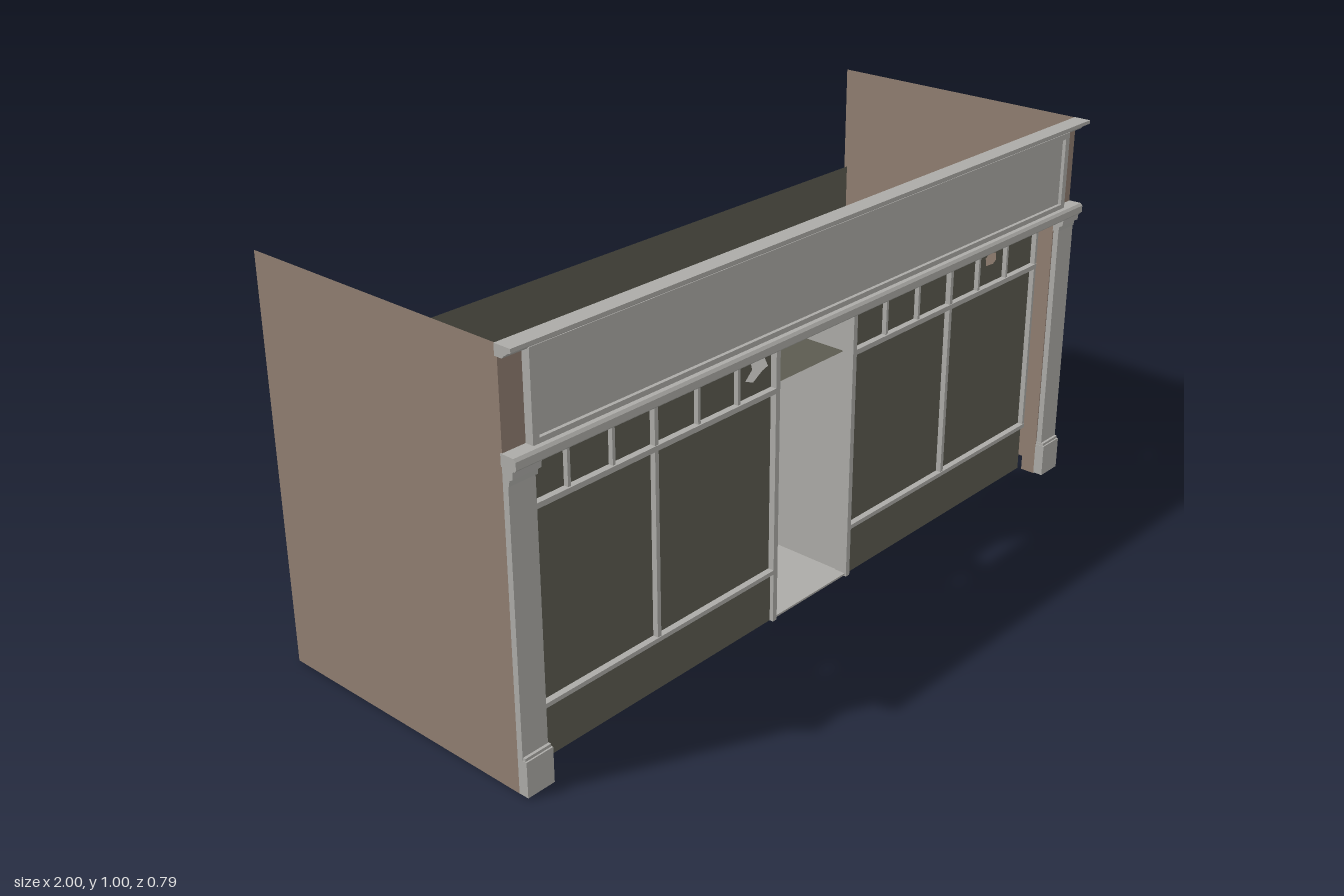
import * as THREE from 'three';

const mat = (name, color, double) => {
  const m = new THREE.MeshStandardMaterial({ color });
  m.name = name;
  if (double) m.side = THREE.DoubleSide;
  return m;
};

export function createModel() {
  const root = new THREE.Group();
  root.name = 'shopfront';
  const trim = mat('trimGrey', 0xacaba7);
  const olive = mat('oliveGreen', 0x5c5b50, true);
  const brick = mat('brickBrown', 0x907e71, true);
  const dark = mat('darkFloor', 0x3c3535, true);

  const add = (name, geo, material) => {
    const mesh = new THREE.Mesh(geo, material);
    mesh.name = name;
    root.add(mesh);
    return mesh;
  };
  // Box given by its limits on each axis
  const box = (name, m, x0, x1, y0, y1, z0, z1) => {
    const b = add(name, new THREE.BoxGeometry(x1 - x0, y1 - y0, z1 - z0), m);
    b.position.set((x0 + x1) / 2, (y0 + y1) / 2, (z0 + z1) / 2);
    return b;
  };
  // Box repeated on both sides of x = 0
  const pair = (name, m, x0, x1, ...rest) => {
    box(name + 'Left', m, x0, x1, ...rest);
    box(name + 'Right', m, -x1, -x0, ...rest);
  };
  // Upright sheet facing the front
  const sheet = (name, m, x0, x1, y0, y1, z) => {
    const p = add(name, new THREE.PlaneGeometry(x1 - x0, y1 - y0), m);
    p.position.set((x0 + x1) / 2, (y0 + y1) / 2, z);
  };
  // Level sheet
  const deck = (name, m, x0, x1, z0, z1, y) => {
    const p = add(name, new THREE.PlaneGeometry(x1 - x0, z1 - z0).rotateX(-Math.PI / 2), m);
    p.position.set((x0 + x1) / 2, y, (z0 + z1) / 2);
  };
  // Moulding: a (z, y) profile run along x
  const moulding = (name, pts, x0, x1) => {
    const shape = new THREE.Shape(pts.map(([z, y]) => new THREE.Vector2(z, y)));
    const geo = new THREE.ExtrudeGeometry(shape, { depth: x1 - x0, bevelEnabled: false });
    geo.rotateY(-Math.PI / 2).translate(x1, 0, 0);
    add(name, geo, trim);
  };

  // Shell: side walls, back wall and floor
  for (const s of [-1, 1]) {
    const wall = add('sideWall', new THREE.PlaneGeometry(0.745, 1).rotateY(s * Math.PI / 2), brick);
    wall.position.set(s * 0.998, 0.5, -0.0175);
    const reveal = add('brickReveal', new THREE.PlaneGeometry(0.04, 0.98).rotateY(-s * Math.PI / 2), brick);
    reveal.position.set(s * 0.927, 0.49, 0.335);
    sheet('brickPier', brick, s > 0 ? 0.927 : -0.998, s > 0 ? 0.998 : -0.927, 0, 0.99, 0.355);
  }
  deck('brickLintel', brick, -0.925, 0.925, 0.315, 0.355, 0.98);
  sheet('backWall', olive, -0.925, 0.925, 0, 0.745, -0.325);
  deck('floor', dark, -0.925, 0.925, -0.325, 0.3, 0.002);

  // Pilasters with base and stepped capital
  pair('pilasterShaft', trim, 0.93, 1, 0.09, 0.73, 0.355, 0.37);
  pair('pilasterBase', trim, 0.926, 1, 0.003, 0.09, 0.355, 0.381);
  pair('pilasterBaseCap', trim, 0.928, 0.999, 0.09, 0.097, 0.355, 0.377);
  for (const x0 of [-1, 0.926]) {
    moulding('capital', [[0.355, 0.712], [0.372, 0.712], [0.374, 0.725], [0.383, 0.73],
      [0.385, 0.748], [0.355, 0.748]], x0, x0 + 0.074);
  }

  // Fascia sign board with raised frame, between two cornices
  box('signPanel', trim, -0.93, 0.93, 0.77, 0.98, 0.355, 0.367);
  pair('signStile', trim, 0.921, 0.938, 0.775, 0.978, 0.352, 0.376);
  box('signTopRail', trim, -0.93, 0.93, 0.963, 0.978, 0.355, 0.376);
  box('signBottomRail', trim, -0.93, 0.93, 0.775, 0.788, 0.355, 0.376);
  moulding('topCornice', [[0.35, 0.974], [0.37, 0.974], [0.376, 0.98], [0.388, 0.988],
    [0.395, 0.991], [0.395, 1], [0.35, 1]], -1, 1);
  moulding('lowerCornice', [[0.352, 0.748], [0.389, 0.748], [0.394, 0.753], [0.394, 0.77],
    [0.388, 0.776], [0.352, 0.776]], -1, 1);
  box('frieze', trim, -0.93, 0.93, 0.734, 0.75, 0.352, 0.368);
  box('soffit', trim, -0.93, 0.93, 0.748, 0.754, 0.29, 0.356);

  // Window frame
  box('windowHead', trim, -0.928, 0.928, 0.732, 0.748, 0.28, 0.316);
  pair('windowSill', trim, 0.137, 0.926, 0.129, 0.14, 0.283, 0.314);
  pair('transomBar', trim, 0.137, 0.926, 0.596, 0.609, 0.282, 0.314);
  pair('windowJamb', trim, 0.919, 0.928, 0.13, 0.735, 0.285, 0.312);
  pair('entrancePost', trim, 0.134, 0.148, 0, 0.735, 0.28, 0.314);
  pair('mainMullion', trim, 0.53, 0.541, 0.135, 0.735, 0.285, 0.312);
  for (const x of [0.27, 0.4, 0.66, 0.787]) {
    pair('upperMullion', trim, x - 0.004, x + 0.004, 0.605, 0.735, 0.288, 0.31);
  }

  // Stall risers and large panes
  for (const s of [-1, 1]) {
    const a = s > 0 ? 0.14 : -0.925, b = s > 0 ? 0.925 : -0.14;
    sheet('stallRiser', olive, a, b, 0, 0.135, 0.304);
    sheet('largePane', olive, a, b, 0.135, 0.602, 0.298);
  }

  // Small upper panes, three of them broken; holes are offsets from a centre
  const holes = {
    '-4': [-0.732, 0.684, [[-0.03, 0.012], [-0.018, 0.03], [0.004, 0.034], [0.03, 0.012],
      [0.026, -0.008], [0.006, -0.03], [-0.018, -0.026], [-0.02, -0.008]]],
    '-0': [-0.197, 0.684, [[-0.028, 0.026], [0, 0.018], [0.036, 0.034], [0.026, 0.004],
      [0.038, -0.02], [0.018, -0.026], [-0.012, -0.044], [-0.04, -0.034], [-0.016, -0.012]]],
    '4': [0.727, 0.673, [[-0.024, 0.008], [-0.006, 0.016], [0.022, 0.012], [0.026, -0.008],
      [0.012, -0.016], [-0.02, -0.014]]],
  };
  const edges = [0.14, 0.27, 0.4, 0.535, 0.66, 0.787, 0.925];
  for (const s of [-1, 1]) {
    for (let i = 0; i < 6; i++) {
      const x0 = s * edges[i], x1 = s * edges[i + 1];
      const pane = new THREE.Shape([[x0, 0.602], [x1, 0.602], [x1, 0.738], [x0, 0.738]]
        .map(([x, y]) => new THREE.Vector2(x, y)));
      const hole = holes[(s < 0 ? '-' : '') + i];
      if (hole) {
        const [cx, cy, pts] = hole;
        pane.holes.push(new THREE.Path(pts.map(([x, y]) => new THREE.Vector2(cx + x, cy + y))));
      }
      add('upperPane', new THREE.ShapeGeometry(pane), olive).position.z = 0.298;
    }
  }

  // Recessed entrance
  pair('recessWall', trim, 0.136, 0.148, 0.001, 0.735, 0.075, 0.285);
  box('recessFloor', trim, -0.14, 0.14, 0.003, 0.008, 0.07, 0.31);
  deck('recessCeiling', olive, -0.14, 0.14, 0.075, 0.285, 0.602);

  // Door with frame, glazing and kick plate
  pair('doorFrame', trim, 0.108, 0.126, 0.005, 0.605, 0.062, 0.084);
  box('doorHead', trim, -0.126, 0.126, 0.588, 0.605, 0.062, 0.084);
  pair('doorStile', trim, 0.09, 0.109, 0.008, 0.588, 0.066, 0.078);
  box('doorTopRail', trim, -0.092, 0.092, 0.572, 0.588, 0.066, 0.078);
  box('doorBottomRail', trim, -0.092, 0.092, 0.008, 0.034, 0.066, 0.078);
  sheet('doorGlass', olive, -0.092, 0.092, 0.08, 0.574, 0.072);
  sheet('doorKickPlate', dark, -0.092, 0.092, 0.032, 0.08, 0.072);

  return root;
}
